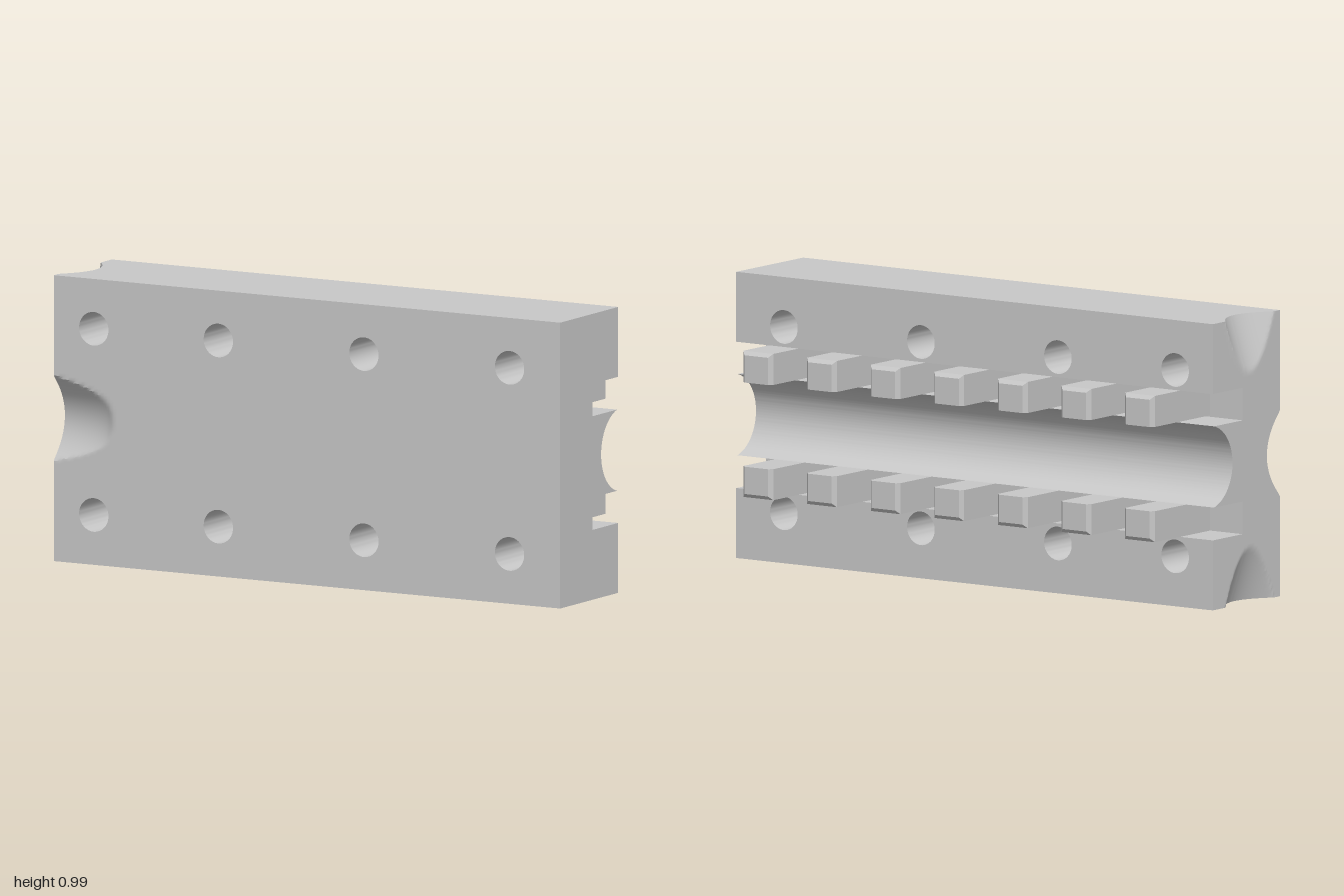
import * as THREE from 'three';
import { toCreasedNormals } from 'three/addons/utils/BufferGeometryUtils.js';

const H = 0.986, MID = H / 2;          // block height and its middle
const BACK = -0.115, FRONT = 0.275;    // block faces
const SLOT_FLOOR = 0.059, SLOT_OUT = 0.252, RIB = 0.14;
const GROOVE_R = 0.145;

export function createModel() {
  const model = new THREE.Group();
  const grey = new THREE.MeshStandardMaterial({ color: 0xc8c8c8 });
  grey.name = 'grey';

  const add = (name, geometry, parent = model) => {
    const mesh = new THREE.Mesh(geometry, grey);
    mesh.name = name;
    parent.add(mesh);
    return mesh;
  };

  // Box given by its limits, with an optional rule that moves its vertices
  const box = (x0, x1, y0, y1, z0, z1, segs = [1, 1, 1], rule = null) => {
    const g = new THREE.BoxGeometry(x1 - x0, y1 - y0, z1 - z0, ...segs);
    g.translate((x0 + x1) / 2, (y0 + y1) / 2, (z0 + z1) / 2);
    if (!rule) return g;
    const p = g.attributes.position, v = new THREE.Vector3();
    for (let i = 0; i < p.count; i++) {
      rule(v.fromBufferAttribute(p, i));
      p.setXYZ(i, v.x, v.y, v.z);
    }
    return toCreasedNormals(g, 0.5);
  };
  const near = (a, b) => Math.abs(a - b) < 1e-4;

  // Upper and lower rails with through holes, and a scooped end at -x
  const endX = -0.92;
  for (const s of [1, -1]) {
    const side = s > 0 ? 'upper' : 'lower';
    const y0 = s > 0 ? MID + SLOT_OUT : 0;
    const y1 = s > 0 ? H : MID - SLOT_OUT;
    const shape = new THREE.Shape([
      new THREE.Vector2(endX, y0), new THREE.Vector2(1, y0),
      new THREE.Vector2(1, y1), new THREE.Vector2(endX, y1),
    ]);
    for (const x of [-0.842, -0.35, 0.225, 0.8]) {
      const hole = new THREE.Path();
      hole.absarc(x, MID + s * 0.321, 0.058, 0, Math.PI * 2, true);
      shape.holes.push(hole);
    }
    const rail = new THREE.ExtrudeGeometry(shape, { depth: FRONT - BACK, bevelEnabled: false, curveSegments: 24 });
    rail.translate(0, 0, BACK);
    add(side + 'Rail', toCreasedNormals(rail, 0.5));

    add(side + 'RailEnd', box(-1, endX, y0, y1, BACK, FRONT, [1, 20, 40], (v) => {
      if (!near(v.x, -1)) return;
      const t = 1 - (s > 0 ? H - v.y : v.y) / 0.19;   // scoop tapers inwards
      if (t <= 0) return;
      const u = (v.z - 0.1) / (0.14 * Math.sqrt(t));
      v.x += 0.062 * t * Math.max(0, 1 - u * u);
    }));
  }

  // Front wall between the rails, with a shallow scoop at its -x end
  const wallEnd = -0.75, w0 = MID - SLOT_OUT, w1 = MID + SLOT_OUT;
  add('frontWall', box(wallEnd, 1, w0, w1, SLOT_FLOOR, FRONT));
  add('frontWallEnd', box(-1, wallEnd, w0, w1, SLOT_FLOOR, FRONT, [20, 48, 1], (v) => {
    if (!near(v.z, FRONT)) return;
    const t = (-0.77 - v.x) / 0.23;
    if (t <= 0) return;
    const u = (v.y - MID) / (GROOVE_R * Math.pow(t, 0.3));
    v.z -= 0.075 * Math.pow(t, 0.7) * Math.max(0, 1 - u * u);
  }));

  // Central rib with a round groove along the back
  const a = Math.asin(RIB / GROOVE_R);
  const section = new THREE.Shape();
  section.absarc(GROOVE_R, MID, GROOVE_R, Math.PI + a, Math.PI - a, true);
  section.lineTo(-SLOT_FLOOR, MID + RIB);
  section.lineTo(-SLOT_FLOOR, MID - RIB);
  section.closePath();
  const rib = new THREE.ExtrudeGeometry(section, { depth: 2, bevelEnabled: false, curveSegments: 40 });
  rib.rotateY(Math.PI / 2).translate(-1, 0, 0);
  add('groovedRib', toCreasedNormals(rib, 0.5));

  // Two rows of teeth standing in the slots, chamfered on three tip edges
  const tip = -0.275, c = 0.013, half = 0.0625;
  for (const s of [1, -1]) {
    const row = new THREE.Group();
    row.name = s > 0 ? 'upperTeeth' : 'lowerTeeth';
    model.add(row);
    const inner = MID + s * 0.145, outer = MID + s * SLOT_OUT;
    const tooth = box(-half, half, Math.min(inner, outer), Math.max(inner, outer), tip, SLOT_FLOOR, [1, 1, 2], (v) => {
      if (near(v.z, tip)) {
        v.x -= Math.sign(v.x) * c;
        if (near(v.y, outer)) v.y -= s * c;
      } else if (!near(v.z, SLOT_FLOOR)) v.z = tip + c;
    });
    for (let i = -3; i <= 3; i++) add('tooth', tooth, row).position.x = i * 0.267;
  }
  return model;
}
